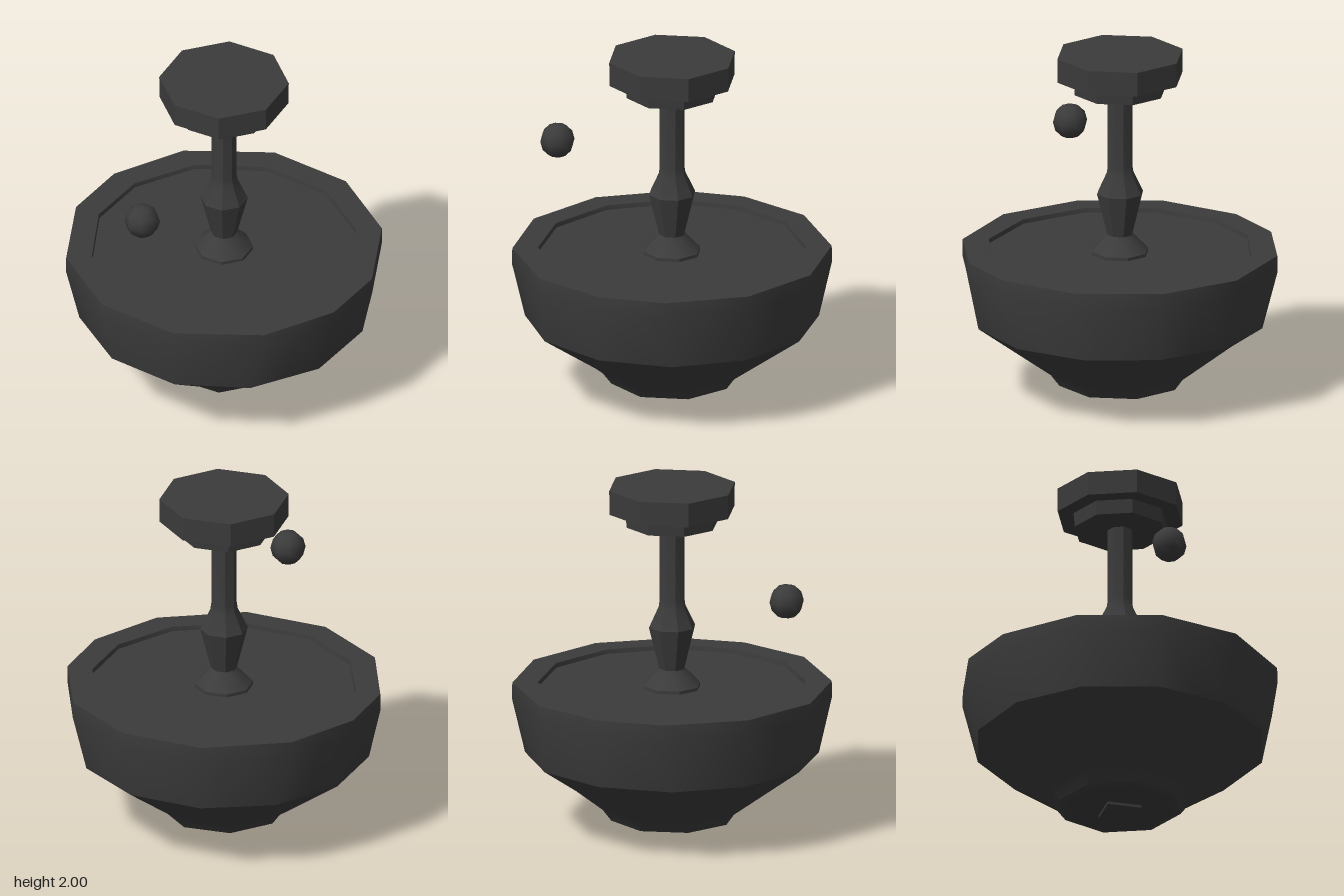
import * as THREE from 'three';
import { toCreasedNormals } from 'three/addons/utils/BufferGeometryUtils.js';

const darkMetal = new THREE.MeshStandardMaterial({ color: 0x3b3b3b });
darkMetal.name = 'darkMetal';

// Turned part: profile of [radius, height] pairs, running up the outside
function turned(name, sides, profile, shape = () => {}) {
  const points = profile.map(([r, y]) => new THREE.Vector2(r, y));
  const geometry = new THREE.LatheGeometry(points, sides);
  shape(geometry.attributes.position, points);
  const mesh = new THREE.Mesh(toCreasedNormals(geometry, 0.62), darkMetal);
  mesh.name = name;
  return mesh;
}

// Corner of a bowl ring: eight even corners at the bottom, twelve uneven ones above
const cornerShift = [0, 1.4, 2.4, -3.2, -4.4, -1.3];
function bowlCorner(radius, sides, k) {
  const shift = radius > 0.85 ? 1 : radius > 0.7 && radius < 0.8 ? 0.5 : 0;
  const degrees = k * 360 / sides + cornerShift[k % 6] * shift;
  const angle = THREE.MathUtils.degToRad(degrees);
  return new THREE.Vector2(radius * Math.cos(angle), radius * Math.sin(angle));
}

// Reshapes the 24-step rings of the bowl into straight-sided polygons
function polygonRings(position, points) {
  for (let i = 0; i < position.count; i++) {
    const radius = points[i % points.length].x;
    const sides = radius < 0.5 ? 8 : 12;
    const along = (30 - Math.floor(i / points.length)) % 24 * sides / 24;
    const k = Math.floor(along);
    const p = bowlCorner(radius, sides, k).lerp(bowlCorner(radius, sides, k + 1), along - k);
    position.setX(i, p.x);
    position.setZ(i, p.y);
  }
}

export function createModel() {
  const lamp = new THREE.Group();
  lamp.name = 'pendantLamp';

  // Faceted bowl with a flat rim and a slightly sunken top plate
  lamp.add(turned('bowlShade', 24, [
    [0, 0.04], [0.27, 0.042], [0.355, 0.063], [0.405, 0.13], [0.83, 0.44],
    [0.904, 0.76], [0.902, 0.853], [0.757, 0.853], [0.753, 0.828], [0, 0.82],
  ], polygonRings));

  // Small square pointed knob under the bowl
  const finial = turned('finial', 4, [[0, 0], [0.14, 0.025], [0.14, 0.05]]);
  finial.rotation.y = Math.PI / 4;
  lamp.add(finial);

  // Stem with flared foot and swollen baluster
  lamp.add(turned('stem', 8, [
    [0.165, 0.81], [0.165, 0.84], [0.15, 0.855], [0.074, 0.935], [0.135, 1.18],
    [0.078, 1.3], [0.072, 1.34], [0.072, 1.8],
  ]));

  // Stepped ceiling mount
  lamp.add(turned('ceilingMountStep', 8, [
    [0, 1.777], [0.265, 1.777], [0.273, 1.87],
  ]));
  lamp.add(turned('ceilingMount', 8, [
    [0, 1.86], [0.365, 1.86], [0.367, 2], [0, 2],
  ]));

  // Loose ball floating beside the stem
  const ball = new THREE.Mesh(new THREE.SphereGeometry(0.1, 8, 6), darkMetal);
  ball.name = 'ball';
  ball.position.set(-0.69, 1.4, 0.1);
  lamp.add(ball);

  return lamp;
}
